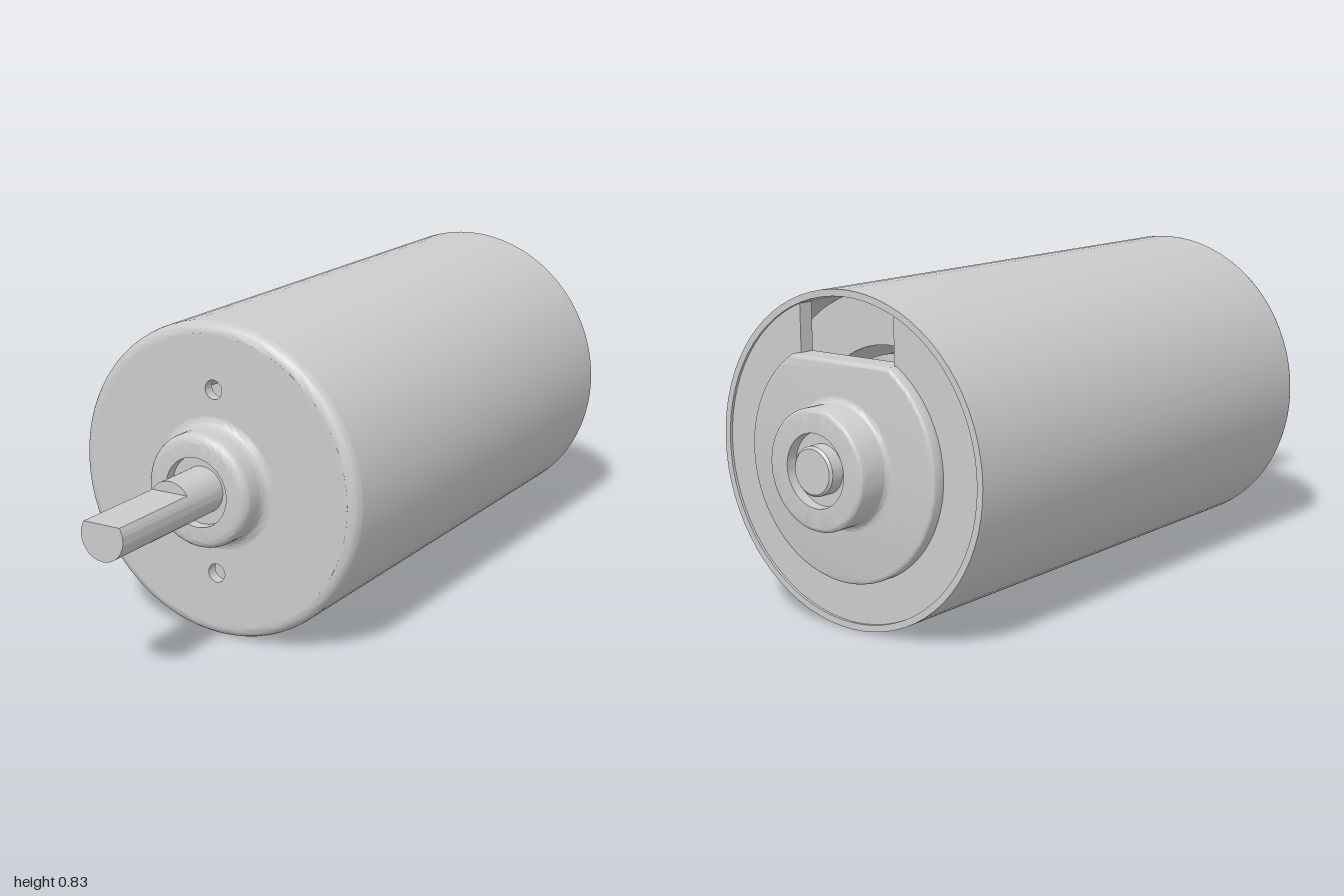
import * as THREE from 'three';
import { toCreasedNormals } from 'three/addons/utils/BufferGeometryUtils.js';

const material = new THREE.MeshStandardMaterial({ color: 0xcccccc, side: THREE.DoubleSide });
const SEG = 72;

export function createModel() {
  const motor = new THREE.Group();
  motor.name = 'electricMotor';
  motor.position.y = 0.418; // everything is built around the shaft axis

  function add(name, geometry) {
    const mesh = new THREE.Mesh(toCreasedNormals(geometry, 0.6), material);
    mesh.name = name;
    motor.add(mesh);
    return mesh;
  }

  // Revolve [radius, z] points around the z axis
  function revolve(name, points) {
    const geometry = new THREE.LatheGeometry(points.map(([r, z]) => new THREE.Vector2(r, z)), SEG);
    return add(name, geometry.rotateX(Math.PI / 2));
  }

  // Points of a quarter-circle fillet in the profile plane
  function arc(r, z, radius, from, to, steps = 6) {
    return Array.from({ length: steps + 1 }, (_, i) => {
      const a = from + (to - from) * i / steps;
      return [r + radius * Math.cos(a), z + radius * Math.sin(a)];
    });
  }

  function extrude(name, shape, z, depth, bevel = 0) {
    const geometry = new THREE.ExtrudeGeometry(shape, {
      depth: depth - 2 * bevel, curveSegments: SEG, bevelEnabled: bevel > 0,
      bevelSize: bevel, bevelThickness: bevel, bevelOffset: -bevel, bevelSegments: 4,
    });
    return add(name, geometry.translate(0, 0, z + bevel));
  }

  const circle = (r, y = 0, Type = THREE.Path) => new Type().absarc(0, y, r, 0, Math.PI * 2, false);

  // Disc with a straight cut across its top
  function cutDisc(r, cutY) {
    const a = Math.asin(cutY / r);
    const shape = new THREE.Shape();
    shape.absarc(0, 0, r, Math.PI - a, 2 * Math.PI + a, false);
    shape.closePath();
    return shape;
  }

  // Can: outer wall with rounded front edge, rear rim and inner wall
  revolve('can', [
    [0.4, 0.505], [0.4, -0.88], [0.417, -0.88],
    ...arc(0.387, 0.505, 0.03, 0, Math.PI / 2), [0.38, 0.535],
  ]);

  // Front face with two screw holes
  const face = circle(0.388, 0, THREE.Shape);
  face.holes.push(circle(0.1), circle(0.025, 0.246), circle(0.025, -0.242));
  extrude('frontFace', face, 0.505, 0.03);

  // Bearing bosses: filleted foot, rounded lip, recessed bearing around the shaft
  function boss(name, height, foot, lip) {
    return revolve(name, [
      ...arc(0.15 + foot, foot, foot, Math.PI * 1.5, Math.PI),
      ...arc(0.15 - lip, height - lip, lip, 0, Math.PI / 2),
      [0.091, height], [0.091, height - 0.03], [0.05, height - 0.03],
    ]);
  }
  boss('frontBoss', 0.085, 0.025, 0.025).position.z = 0.535;
  const rearBoss = boss('rearBoss', 0.085, 0.015, 0.012);
  rearBoss.position.z = -0.905;
  rearBoss.rotation.y = Math.PI;

  // Rear end plate with a window notched into its top
  const plateR = 0.402, windowX = 0.15, windowY = 0.25;
  const a = Math.acos(windowX / plateR);
  const plate = new THREE.Shape();
  plate.moveTo(windowX, windowY);
  plate.lineTo(-windowX, windowY);
  plate.absarc(0, 0, plateR, Math.PI - a, 2 * Math.PI + a, false);
  plate.closePath();
  extrude('endPlate', plate, -0.873, 0.04);

  // Raised step on the end plate, cut flush with the window
  extrude('raisedStep', cutDisc(0.295, windowY), -0.905, 0.05, 0.01);

  // Magnet ring and armature seen through the window
  revolve('magnetRing', [[0.262, -0.72], [0.399, -0.72], [0.399, 0.45], [0.262, 0.45], [0.262, -0.72]]);
  revolve('armature', [[0, -0.68], [0.235, -0.68], [0.235, 0.4], [0, 0.4]]);

  // Shaft: round through the body, D-shaped at the tip
  revolve('shaft', [[0, -1], [0.055, -1], [0.061, -0.994], [0.061, 0.73], [0, 0.73]]);
  extrude('shaftFlat', cutDisc(0.061, 0.032), 0.72, 0.28);

  const model = new THREE.Group();
  model.add(motor);
  return model;
}
